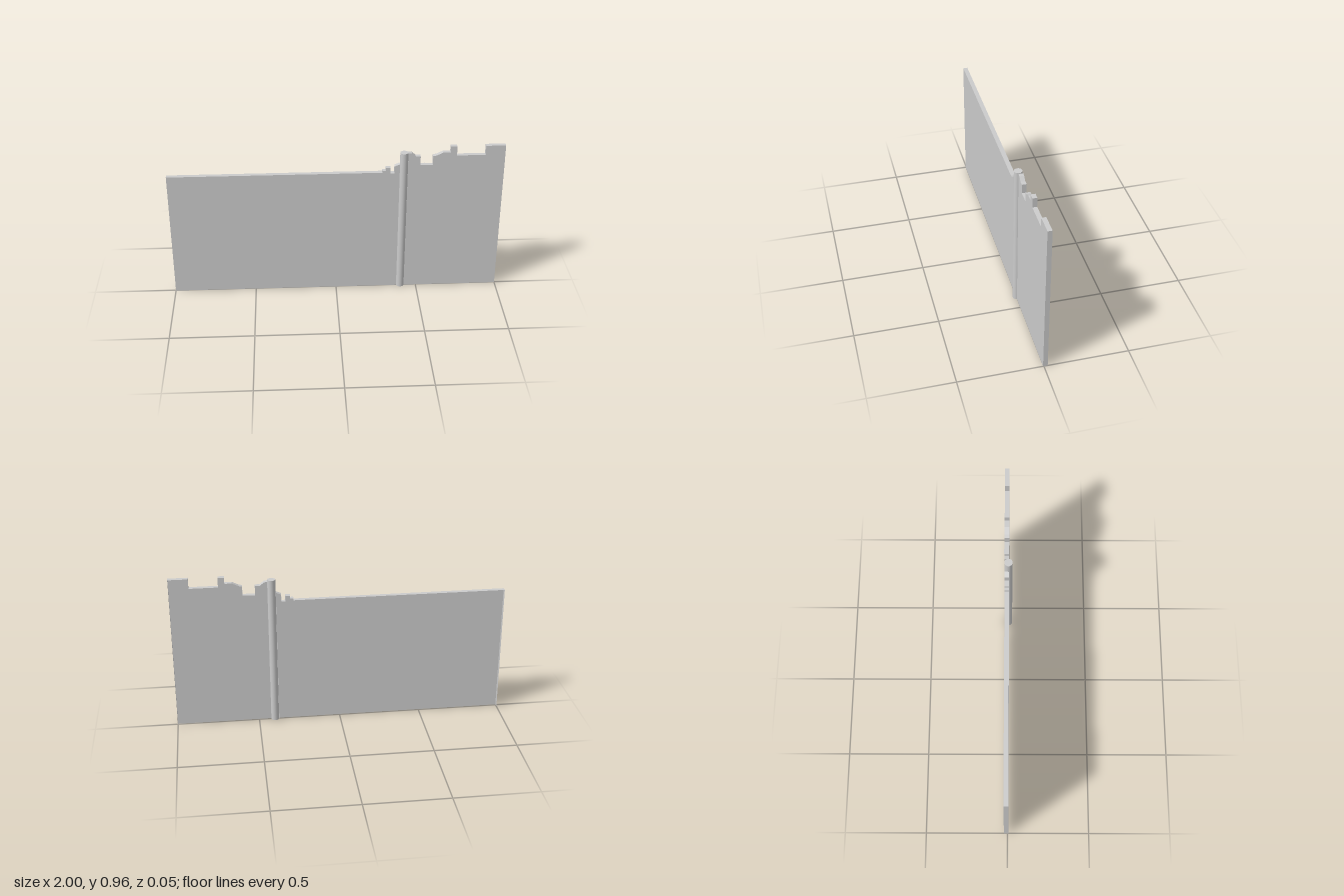
import * as THREE from 'three';

const FRONT = 0.005, BACK = -0.022;

// Skyline of each wall panel, from bottom corner over the top to bottom corner
const longProfile = [
  [-1, 0], [-1, 0.8], [0.275, 0.8], [0.275, 0.812], [0.295, 0.812], [0.295, 0.83],
  [0.323, 0.83], [0.323, 0.795], [0.347, 0.795], [0.347, 0.84], [0.378, 0.853], [0.378, 0],
];
const shortProfile = [
  [0.426, 0], [0.426, 0.925], [0.447, 0.922], [0.47, 0.902], [0.499, 0.902], [0.499, 0.845],
  [0.573, 0.845], [0.573, 0.902], [0.593, 0.906], [0.632, 0.925], [0.675, 0.925],
  [0.675, 0.963], [0.713, 0.963], [0.713, 0.904], [0.883, 0.904], [0.883, 0.963],
  [1, 0.963], [1, 0],
];

export function createModel() {
  const group = new THREE.Group();
  const material = new THREE.MeshStandardMaterial({ color: 0xcccccc, side: THREE.DoubleSide });

  const add = (parent, name, geometry) => {
    const mesh = new THREE.Mesh(geometry, material);
    mesh.name = name;
    parent.add(mesh);
    return mesh;
  };

  // Rim folded back from the outline; the back and the bottom stay open
  function rimGeometry(profile) {
    const pos = [];
    for (let i = 0; i < profile.length - 1; i++) {
      const [ax, ay] = profile[i], [bx, by] = profile[i + 1];
      pos.push(ax, ay, FRONT, bx, by, FRONT, bx, by, BACK);
      pos.push(ax, ay, FRONT, bx, by, BACK, ax, ay, BACK);
    }
    const geometry = new THREE.BufferGeometry();
    geometry.setAttribute('position', new THREE.Float32BufferAttribute(pos, 3));
    geometry.computeVertexNormals();
    return geometry;
  }

  // Thin wall panel: flat front sheet plus rim
  function panel(name, profile) {
    const wall = new THREE.Group();
    wall.name = name;
    const shape = new THREE.Shape(profile.map(([x, y]) => new THREE.Vector2(x, y)));
    add(wall, 'frontSheet', new THREE.ShapeGeometry(shape).translate(0, 0, FRONT));
    add(wall, 'rim', rimGeometry(profile));
    group.add(wall);
  }
  panel('longWall', longProfile);
  panel('shortWall', shortProfile);

  // Round post covering the joint
  const post = add(group, 'post', new THREE.CylinderGeometry(0.0242, 0.0242, 0.929, 32));
  post.position.set(0.402, 0.929 / 2, 0.0008);

  // Tiny lip at the back of the notch
  const lip = add(group, 'notchLip', new THREE.BoxGeometry(0.03, 0.004, 0.004));
  lip.position.set(0.515, 0.843, -0.023);

  return group;
}
